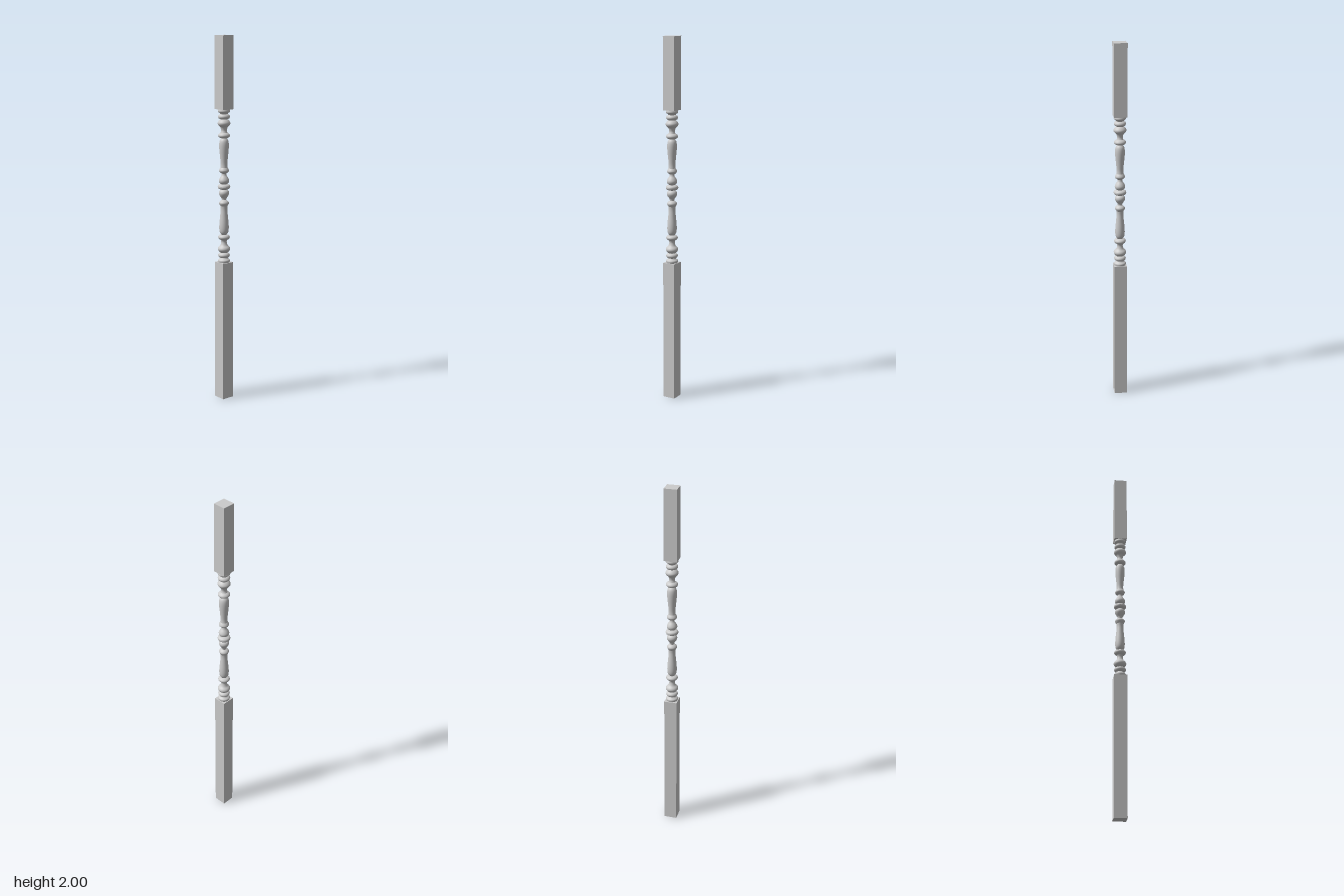
import * as THREE from 'three';

const WIDTH = 0.07, BASE_TOP = 0.778, CAP_BOTTOM = 1.613, HEIGHT = 2;
const MIDDLE = (BASE_TOP + CAP_BOTTOM) / 2;

// Half of the turning, from the middle outwards: each element is a smooth
// curve of [radius, distance from the middle], with a crease between elements.
const ELEMENTS = [
  [[0.034, 0], [0.032, 0.007], [0.025, 0.012], [0.016, 0.015]],                 // centre ring
  [[0.016, 0.015], [0.025, 0.023], [0.028, 0.035], [0.023, 0.048], [0.014, 0.062], [0.012, 0.072]], // pear
  [[0.012, 0.072], [0.022, 0.079], [0.027, 0.088], [0.024, 0.097], [0.019, 0.105]], // small bead
  [[0.019, 0.105], [0.018, 0.125], [0.021, 0.16], [0.025, 0.2], [0.026, 0.23], [0.023, 0.25], [0.015, 0.263]], // vase
  [[0.015, 0.263], [0.027, 0.268], [0.032, 0.277], [0.028, 0.286], [0.018, 0.293]], // bead
  [[0.018, 0.293], [0.015, 0.305], [0.02, 0.322], [0.031, 0.334], [0.034, 0.345], [0.028, 0.356], [0.019, 0.364]], // bell
  [[0.019, 0.364], [0.028, 0.369], [0.032, 0.378], [0.028, 0.387], [0.02, 0.392]], // bead
  [[0.02, 0.392], [0.023, 0.397], [0.031, 0.403], [0.033, 0.409], [0.031, 0.418]], // collar
];

function createTurning(points, sign, material) {
  const profile = new THREE.SplineCurve(points.map(([r, d]) => new THREE.Vector2(r, MIDDLE + sign * d)))
    .getPoints((points.length - 1) * 4);
  if (sign < 0) profile.reverse(); // keep the outside facing outwards
  return new THREE.Mesh(new THREE.LatheGeometry(profile, 40), material);
}

function createBlock(name, bottom, top, material) {
  const block = new THREE.Mesh(new THREE.BoxGeometry(WIDTH, top - bottom, WIDTH), material);
  block.position.y = (bottom + top) / 2;
  block.name = name;
  return block;
}

export function createModel() {
  const model = new THREE.Group();
  model.name = 'baluster';
  const material = new THREE.MeshStandardMaterial({ color: 0xcccccc });

  // Square ends
  model.add(createBlock('lowerBlock', 0, BASE_TOP, material));
  model.add(createBlock('upperBlock', CAP_BOTTOM, HEIGHT, material));

  // Turned shaft, mirrored about its middle
  const names = ['centreRing', 'pear', 'smallBead', 'vase', 'innerBead', 'bell', 'outerBead', 'collar'];
  for (const [side, sign] of [['upper', 1], ['lower', -1]]) {
    const half = new THREE.Group();
    half.name = side + 'Turning';
    ELEMENTS.forEach((points, i) => {
      const part = createTurning(points, sign, material);
      part.name = names[i];
      half.add(part);
    });
    model.add(half);
  }
  return model;
}
